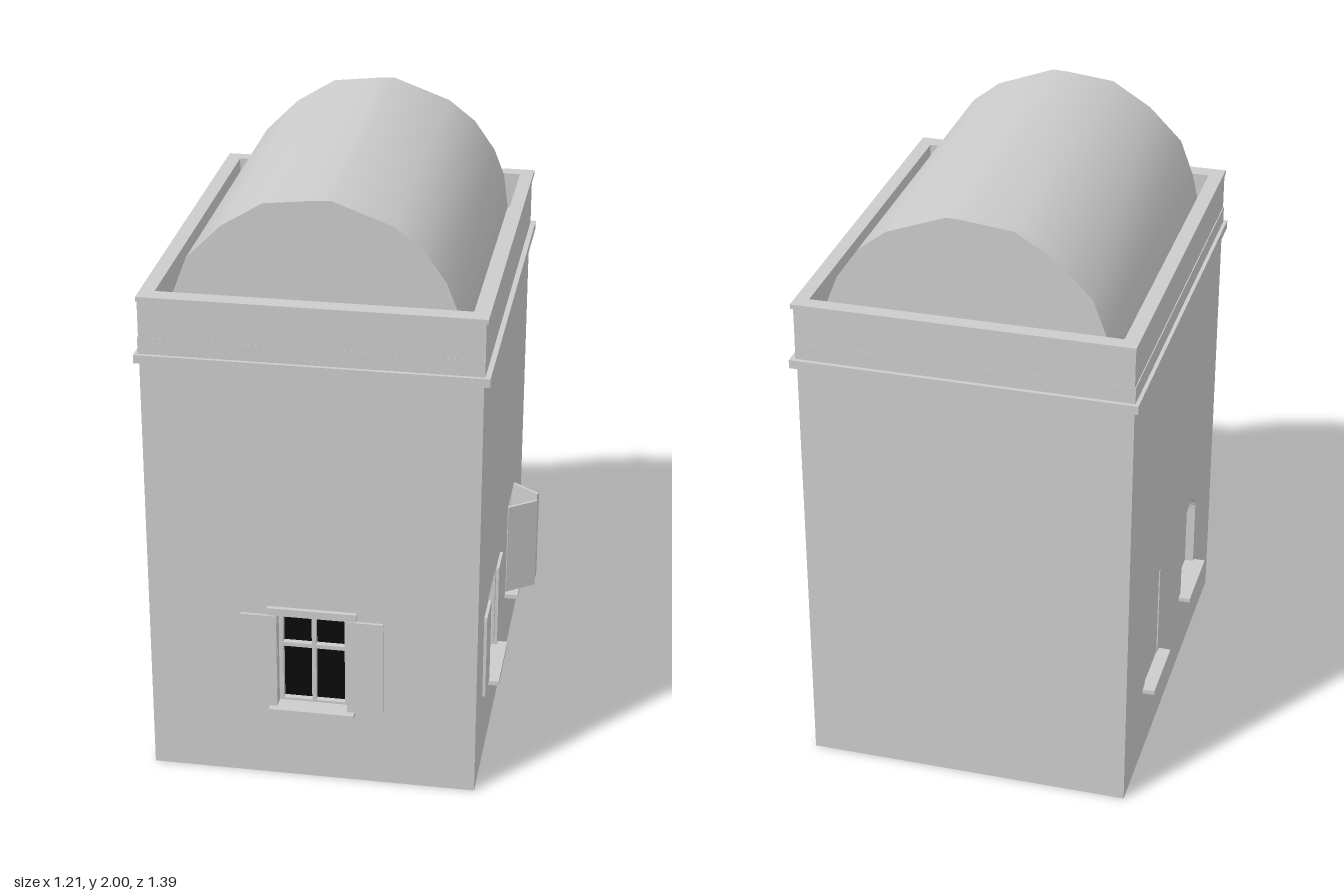
import * as THREE from 'three';
import { toCreasedNormals } from 'three/addons/utils/BufferGeometryUtils.js';

export function createModel() {
  const model = new THREE.Group();
  model.name = 'house';
  const stone = new THREE.MeshStandardMaterial({ color: 0xcccccc });
  stone.name = 'stone grey';
  const dark = new THREE.MeshStandardMaterial({ color: 0x0a0a0a });
  dark.name = 'dark glass';

  const add = (parent, name, geometry, material = stone) => {
    const mesh = new THREE.Mesh(geometry, material);
    mesh.name = name;
    parent.add(mesh);
    return mesh;
  };
  // box given by its limits on each axis
  const box = (parent, name, x0, x1, y0, y1, z0, z1, material) => {
    const mesh = add(parent, name, new THREE.BoxGeometry(x1 - x0, y1 - y0, z1 - z0), material);
    mesh.position.set((x0 + x1) / 2, (y0 + y1) / 2, (z0 + z1) / 2);
    return mesh;
  };
  const rect = (T, x0, x1, y0, y1) => new T([[x0, y0], [x1, y0], [x1, y1], [x0, y1]]
    .map(p => new THREE.Vector2(...p)));
  const archPath = (T, x0, x1, y0, spring, rise) => {
    const p = new T();
    p.moveTo(x0, y0);
    p.lineTo(x1, y0);
    p.lineTo(x1, spring);
    p.absellipse((x0 + x1) / 2, spring, (x1 - x0) / 2, rise, 0, Math.PI, false);
    p.closePath();
    return p;
  };
  const extrude = (shape, depth) =>
    new THREE.ExtrudeGeometry(shape, { depth, bevelEnabled: false, curveSegments: 8 });

  // a facade lies in its own frame: x across, z outwards, outer face at z = 0
  const facade = (name, angle, x, z) => {
    const g = new THREE.Group();
    g.name = name;
    g.rotation.y = angle;
    g.position.set(x, 0, z);
    model.add(g);
    return g;
  };
  const WALL = 0.06;
  const wall = (g, x0, x1, holes) => {
    const shape = rect(THREE.Shape, x0, x1, 0, 1.54);
    shape.holes.push(...holes);
    add(g, 'wall', extrude(shape, WALL)).position.z = -WALL;
  };
  const sill = (g, x0, x1, out) => box(g, 'sill', x0, x1, 0.25, 0.265, -0.05, out);

  // recessed pane with a frame and crossed glazing bars
  const glazing = (g, x0, x1, y0, y1, yBar) => {
    const b = 0.014, xm = (x0 + x1) / 2;
    box(g, 'pane', x0, x1, y0, y1, -0.058, -0.052, dark);
    for (const [a, c] of [[x0, x0 + b], [x1 - b, x1], [xm - 0.007, xm + 0.007]])
      box(g, 'windowUpright', a, c, y0, y1, -0.056, -0.03);
    for (const [a, c] of [[y0, y0 + 0.008], [y1 - 0.008, y1], [yBar - 0.007, yBar + 0.007]])
      box(g, 'windowBar', x0, x1, a, c, -0.056, -0.032);
  };
  // hinged shutter; swing 0 lies flat on the wall, side is -1 or 1
  const shutter = (g, x, side, y0, y1, swing) => {
    const hinge = new THREE.Group();
    hinge.name = 'shutter';
    hinge.position.set(x, 0, 0.002);
    hinge.rotation.y = -side * swing;
    const a = 0, c = side * 0.118;
    box(hinge, 'shutterLeaf', Math.min(a, c), Math.max(a, c), y0, y1, 0, 0.01);
    g.add(hinge);
  };

  // solid core, closed back and roof deck
  box(model, 'core', -0.505, 0.445, 0, 1.55, -0.68, 0.6);

  // front facade
  const front = facade('frontFacade', 0, 0, 0.66);
  wall(front, -0.565, 0.505, [rect(THREE.Path, -0.145, 0.085, 0.265, 0.6)]);
  glazing(front, -0.145, 0.085, 0.265, 0.6, 0.475);
  shutter(front, -0.145, -1, 0.265, 0.6, 0);
  shutter(front, 0.085, 1, 0.265, 0.6, 0);
  sill(front, -0.17, 0.11, 0.035);
  box(front, 'lintel', -0.175, 0.115, 0.604, 0.63, -0.01, 0.015);

  // left facade (+x), where across = -z
  const left = facade('leftFacade', Math.PI / 2, 0.505, 0);
  wall(left, -0.6, 0.68, [
    rect(THREE.Path, -0.385, -0.165, 0.265, 0.56),
    rect(THREE.Path, 0.205, 0.405, 0.265, 0.6)]);
  glazing(left, -0.385, -0.165, 0.265, 0.56, 0.45);
  shutter(left, -0.385, -1, 0.265, 0.56, 0);
  shutter(left, -0.165, 1, 0.265, 0.56, 0);
  glazing(left, 0.205, 0.405, 0.265, 0.6, 0.475);
  shutter(left, 0.205, -1, 0.265, 0.6, Math.PI - 0.93);
  shutter(left, 0.405, 1, 0.265, 0.6, Math.PI - 0.93);
  sill(left, -0.405, -0.14, 0.045);
  sill(left, 0.185, 0.435, 0.045);

  // right facade (-x), where across = z: blind window and arched window
  const right = facade('rightFacade', -Math.PI / 2, -0.565, 0);
  wall(right, -0.68, 0.6, [
    rect(THREE.Path, -0.4, -0.205, 0.265, 0.6),
    archPath(THREE.Path, 0.17, 0.385, 0.265, 0.485, 0.085)]);
  box(right, 'blindPanel', -0.4, -0.205, 0.265, 0.6, -0.06, -0.004);
  box(right, 'closedShutters', 0.17, 0.385, 0.265, 0.475, -0.058, -0.03);
  add(right, 'archPane', extrude(archPath(THREE.Shape, 0.17, 0.385, 0.475, 0.485, 0.085), 0.006), dark)
    .position.z = -0.058;
  box(right, 'archBar', 0.271, 0.284, 0.475, 0.57, -0.056, -0.04);
  sill(right, -0.43, -0.18, 0.04);
  sill(right, 0.14, 0.4, 0.04);

  // cornice ledge, parapet and coping as rings around the top
  const ring = (name, x0, x1, zBack, zFront, y0, y1) => {
    const shape = rect(THREE.Shape, x0, x1, -zFront, -zBack);
    shape.holes.push(rect(THREE.Path, -0.52, 0.47, -0.61, 0.64));
    const mesh = add(model, name, extrude(shape, y1 - y0));
    mesh.rotation.x = -Math.PI / 2;
    mesh.position.y = y0;
  };
  ring('corniceLedge', -0.58, 0.525, -0.697, 0.675, 1.457, 1.485);
  ring('corniceBand', -0.568, 0.508, -0.683, 0.663, 1.485, 1.54);
  ring('parapet', -0.565, 0.508, -0.682, 0.662, 1.54, 1.66);
  ring('coping', -0.568, 0.515, -0.69, 0.667, 1.66, 1.675);

  // barrel vault roof
  const profile = [[0.43, 1.5], [0.43, 1.56], [0.415, 1.67], [0.38, 1.76], [0.31, 1.86], [0.22, 1.93],
    [0.03, 2], [-0.02, 1.998], [-0.18, 1.98], [-0.31, 1.9], [-0.42, 1.79], [-0.465, 1.67],
    [-0.49, 1.56], [-0.49, 1.5]].map(p => new THREE.Vector2(...p));
  const vault = toCreasedNormals(extrude(new THREE.Shape(profile), 1.245), 0.65);
  add(model, 'vaultRoof', vault).position.z = -0.635;

  return model;
}
